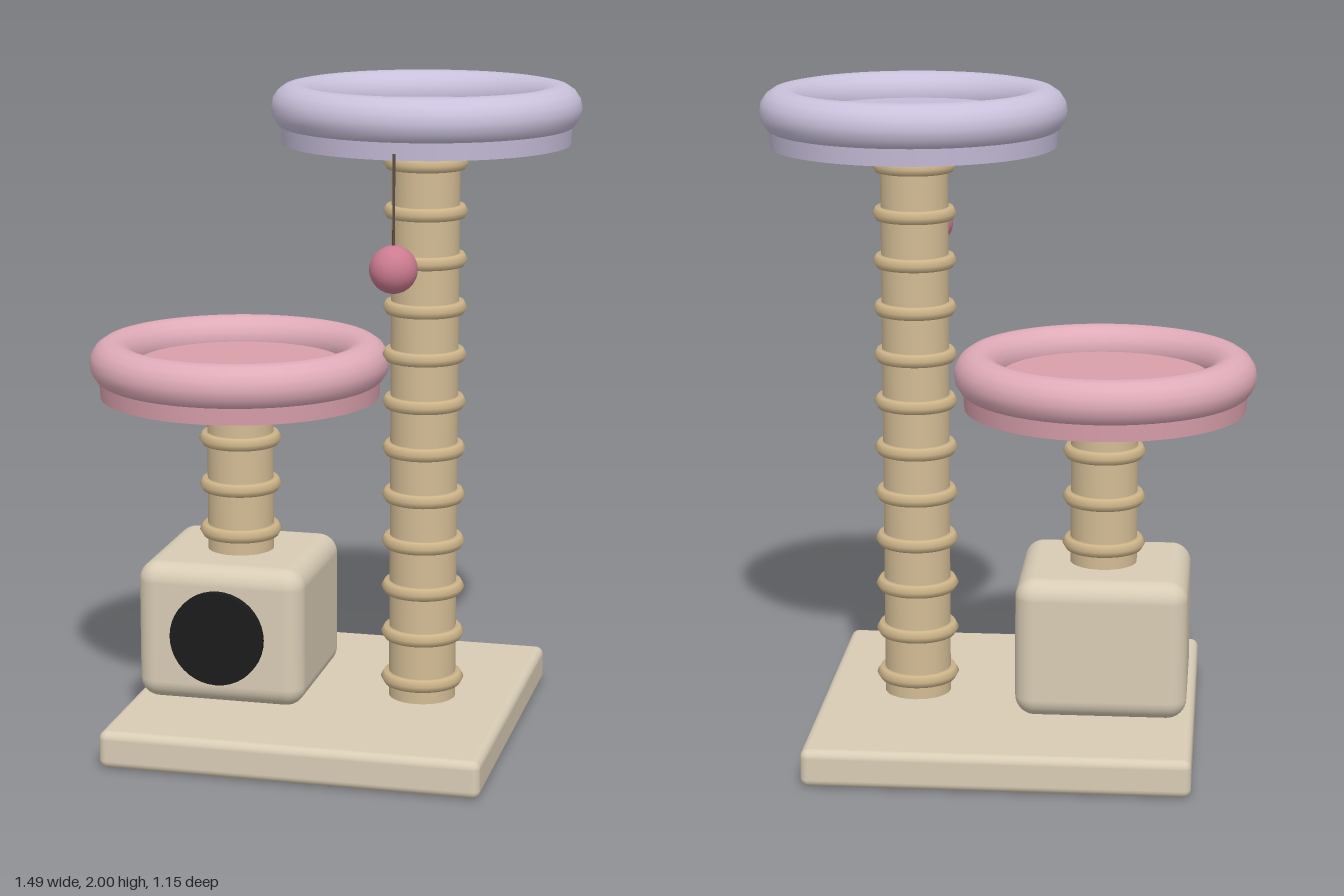
import * as THREE from 'three';
import { RoundedBoxGeometry } from 'three/addons/geometries/RoundedBoxGeometry.js';

const material = (name, color) => {
  const m = new THREE.MeshStandardMaterial({ color });
  m.name = name;
  return m;
};

export function createModel() {
  const model = new THREE.Group();
  model.name = 'catTree';

  const beige = material('beige plush', 0xd8ccb5);
  const sisal = material('sisal tan', 0xd3bc95);
  const rope = material('rope tan', 0xcdb58a);
  const pinkRim = material('pink rim', 0xdfabb8);
  const pinkBed = material('pink bed', 0xd9a0ac);
  const lavenderRim = material('lavender rim', 0xcac1dc);
  const lavenderBed = material('lavender bed', 0xc5bcd8);
  const black = material('doorway black', 0x1c1c1c);
  const rose = material('toy rose', 0xcb7b90);
  const cord = material('cord brown', 0x5e5044);

  const add = (name, geometry, mat, x, y, z, parent = model) => {
    const mesh = new THREE.Mesh(geometry, mat);
    mesh.name = name;
    mesh.position.set(x, y, z);
    parent.add(mesh);
    return mesh;
  };

  const postX = 0.288;

  // Base board and hideaway box with a round doorway
  add('base', new RoundedBoxGeometry(1.15, 0.115, 1.15, 4, 0.025), beige, 0, 0.0575, 0);
  add('house', new RoundedBoxGeometry(0.52, 0.43, 0.52, 5, 0.06), beige, -postX - 0.004, 0.333, 0);
  const door = add('doorway', new THREE.CylinderGeometry(0.145, 0.145, 0.06, 40), black, -postX - 0.004, 0.333, 0.253);
  door.rotation.x = Math.PI / 2;

  // Scratching posts wound with evenly spaced rope rings
  function post(name, x, height, firstRing, lastRing) {
    const group = new THREE.Group();
    group.name = name;
    group.position.x = x;
    model.add(group);
    add('postCore', new THREE.CylinderGeometry(0.102, 0.102, height, 32), sisal, 0, height / 2, 0, group);
    const ringGeometry = new THREE.TorusGeometry(0.105, 0.022, 6, 36).rotateX(Math.PI / 2);
    for (let i = firstRing; i <= lastRing; i++) {
      add('ropeRing', ringGeometry, rope, 0, 0.175 + i * 0.1447, 0, group);
    }
  }
  post('tallPost', postX, 1.81, 0, 11);
  post('shortPost', -postX, 1.012, 3, 5);

  // Round beds: a flat disc with a padded rim
  function perch(name, x, bottom, bedMat, rimMat) {
    const group = new THREE.Group();
    group.name = name;
    group.position.set(x, bottom, 0);
    model.add(group);
    add('bed', new THREE.CylinderGeometry(0.433, 0.427, 0.1, 64), bedMat, 0, 0.05, 0, group);
    add('rim', new THREE.TorusGeometry(0.388, 0.07, 16, 64).rotateX(Math.PI / 2), rimMat, 0, 0.105, 0, group);
  }
  perch('lowPerch', -postX, 1.033, pinkBed, pinkRim);
  perch('highPerch', postX, 1.825, lavenderBed, lavenderRim);

  // Hanging ball toy
  add('toyCord', new THREE.CylinderGeometry(0.004, 0.004, 0.27, 8), cord, postX - 0.002, 1.71, 0.435);
  add('toyBall', new THREE.SphereGeometry(0.069, 28, 20), rose, postX - 0.002, 1.517, 0.435);

  return model;
}
